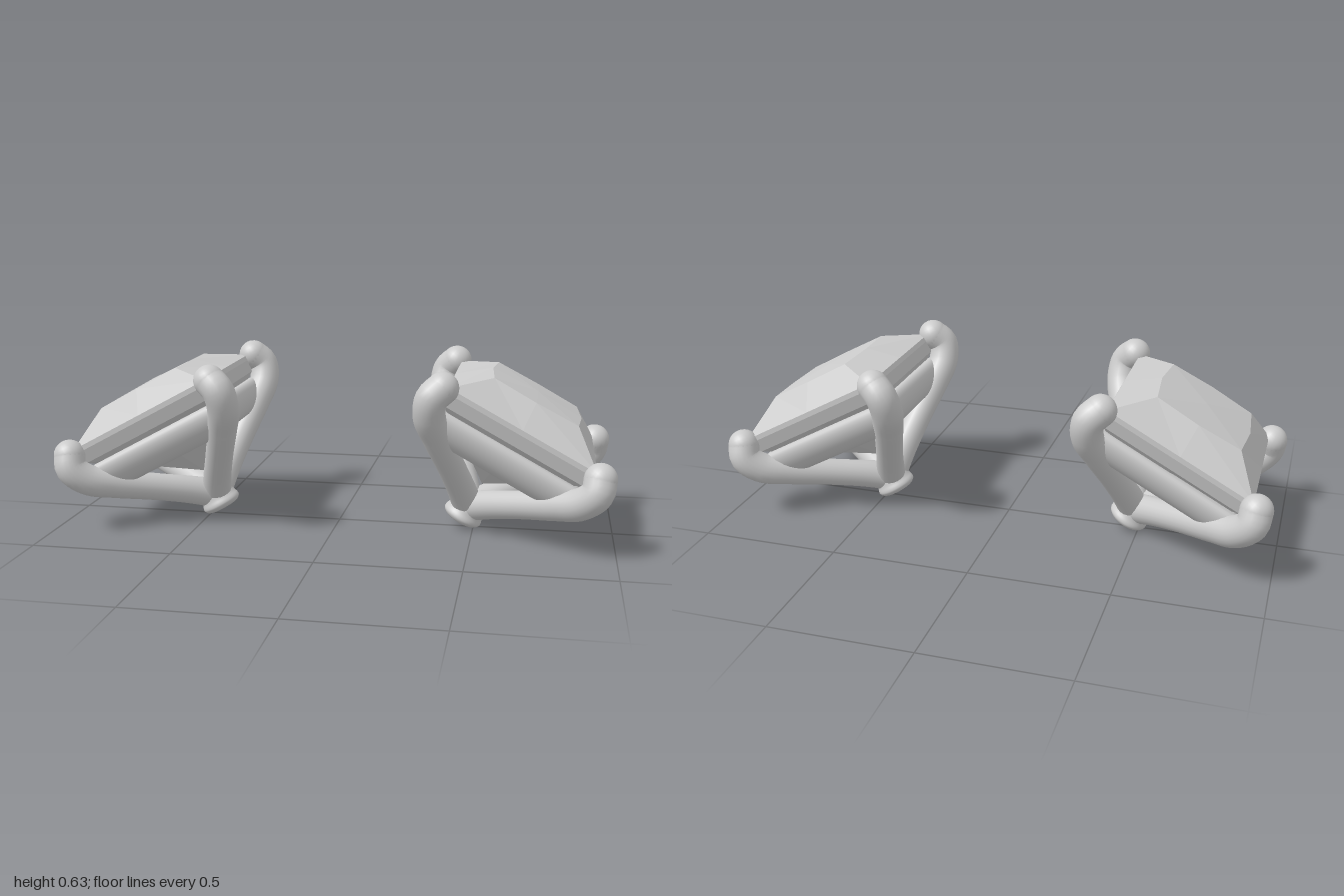
import * as THREE from 'three';
import { toCreasedNormals } from 'three/addons/utils/BufferGeometryUtils.js';

const metal = new THREE.MeshStandardMaterial({ color: 0xcccccc });
const stone = new THREE.MeshStandardMaterial({ color: 0xcccccc, flatShading: true });
const TILT = THREE.MathUtils.degToRad(28.6);

function mesh(name, geometry, material = metal) {
  const m = new THREE.Mesh(geometry, material);
  m.name = name;
  return m;
}

// Square-cut stone: stacked eight-point loops (corners and edge middles), flat faceted
function gemGeometry() {
  // [corner half size, middle half size, height]
  const loops = [
    [0, 0, 0.16], [0.145, 0.17, 0.295], [0.27, 0.27, 0.4], [0.284, 0.284, 0.447],
    [0.284, 0.284, 0.465], [0.165, 0.18, 0.55], [0, 0, 0.557],
  ];
  const point = (loop, k) => {
    const [corner, middle, y] = loop;
    const half = k % 2 ? corner : middle;
    const a = (k * Math.PI) / 4;
    return [Math.round(Math.cos(a)) * half, y, Math.round(Math.sin(a)) * half * 1.035];
  };
  const pos = [];
  for (let i = 0; i < loops.length - 1; i++) {
    for (let k = 0; k < 8; k++) {
      const a = point(loops[i], k), b = point(loops[i], k + 1);
      const c = point(loops[i + 1], k + 1), d = point(loops[i + 1], k);
      if (i < loops.length - 2) pos.push(...a, ...d, ...c);
      if (i > 0) pos.push(...a, ...c, ...b);
    }
  }
  const g = new THREE.BufferGeometry();
  g.setAttribute('position', new THREE.Float32BufferAttribute(pos, 3));
  g.computeVertexNormals();
  return g;
}

// Mitred square rail: an oval profile leaning outward, turned in four segments
function railGeometry() {
  const profile = [], long = 0.066, short = 0.036, lean = Math.PI / 3;
  for (let i = 0; i <= 24; i++) {
    const a = (i / 24) * Math.PI * 2;
    const p = new THREE.Vector2(long * Math.cos(a), short * Math.sin(a)).rotateAround(new THREE.Vector2(), lean);
    profile.push(new THREE.Vector2(Math.SQRT2 * (0.23 + p.x), 0.322 + p.y));
  }
  const g = new THREE.LatheGeometry(profile, 4);
  g.rotateY(Math.PI / 4);
  g.scale(1, 1, 1.04);
  g.deleteAttribute('normal');
  g.deleteAttribute('uv');
  return toCreasedNormals(g, 0.7);
}

// Prong: tube along a diagonal curve, slimmer in the middle, ending over the stone's corner
const prongPath = new THREE.CatmullRomCurve3([
  [0, 0.06], [0.06, 0.122], [0.135, 0.193], [0.235, 0.286],
  [0.295, 0.35], [0.316, 0.41], [0.302, 0.455],
].map(([t, y]) => new THREE.Vector3(t, y, t)));

function prongGeometry() {
  const segs = 48, sides = 20;
  const g = new THREE.TubeGeometry(prongPath, segs, 0.056, sides);
  const p = g.attributes.position, v = new THREE.Vector3();
  for (let i = 0; i <= segs; i++) {
    const u = i / segs, center = prongPath.getPointAt(u);
    const s = 1 - 0.1 * Math.sin(Math.PI * Math.min(1, u * 1.35));
    for (let j = 0; j <= sides; j++) {
      const n = i * (sides + 1) + j;
      v.fromBufferAttribute(p, n).sub(center).multiplyScalar(s).add(center);
      p.setXYZ(n, v.x, v.y, v.z);
    }
  }
  return g;
}

// Rounded foot where the prongs meet
function footGeometry() {
  const profile = [[0, 0], [0.04, 0], [0.06, 0.004], [0.072, 0.015], [0.073, 0.027], [0.067, 0.045], [0.06, 0.08], [0.04, 0.11], [0, 0.13]];
  const curve = new THREE.SplineCurve(profile.map(([x, y]) => new THREE.Vector2(x, y)));
  return new THREE.LatheGeometry(curve.getPoints(28).map(q => q.setX(Math.max(0, q.x))), 32);
}

function createStud() {
  const stud = new THREE.Group();
  stud.add(mesh('gem', gemGeometry(), stone));
  stud.add(mesh('galleryRail', railGeometry()));
  stud.add(mesh('foot', footGeometry()));

  const tube = prongGeometry();
  const tip = new THREE.SphereGeometry(0.056, 24, 16);
  for (let i = 0; i < 4; i++) {
    const prong = new THREE.Group();
    prong.name = 'prong';
    const ball = mesh('prongTip', tip);
    ball.position.copy(prongPath.getPoint(1));
    prong.add(mesh('prongArm', tube), ball);
    prong.rotation.y = (i * Math.PI) / 2;
    stud.add(prong);
  }
  stud.position.set(0.451, 0.028, 0);
  stud.rotation.z = -TILT;
  return stud;
}

export function createModel() {
  const model = new THREE.Group();
  model.name = 'studEarrings';
  // The pair leans outward on either side
  for (const [name, turn] of [['leftEarring', 0], ['rightEarring', Math.PI]]) {
    const side = new THREE.Group();
    side.name = name;
    side.rotation.y = turn;
    side.add(createStud());
    model.add(side);
  }
  return model;
}
